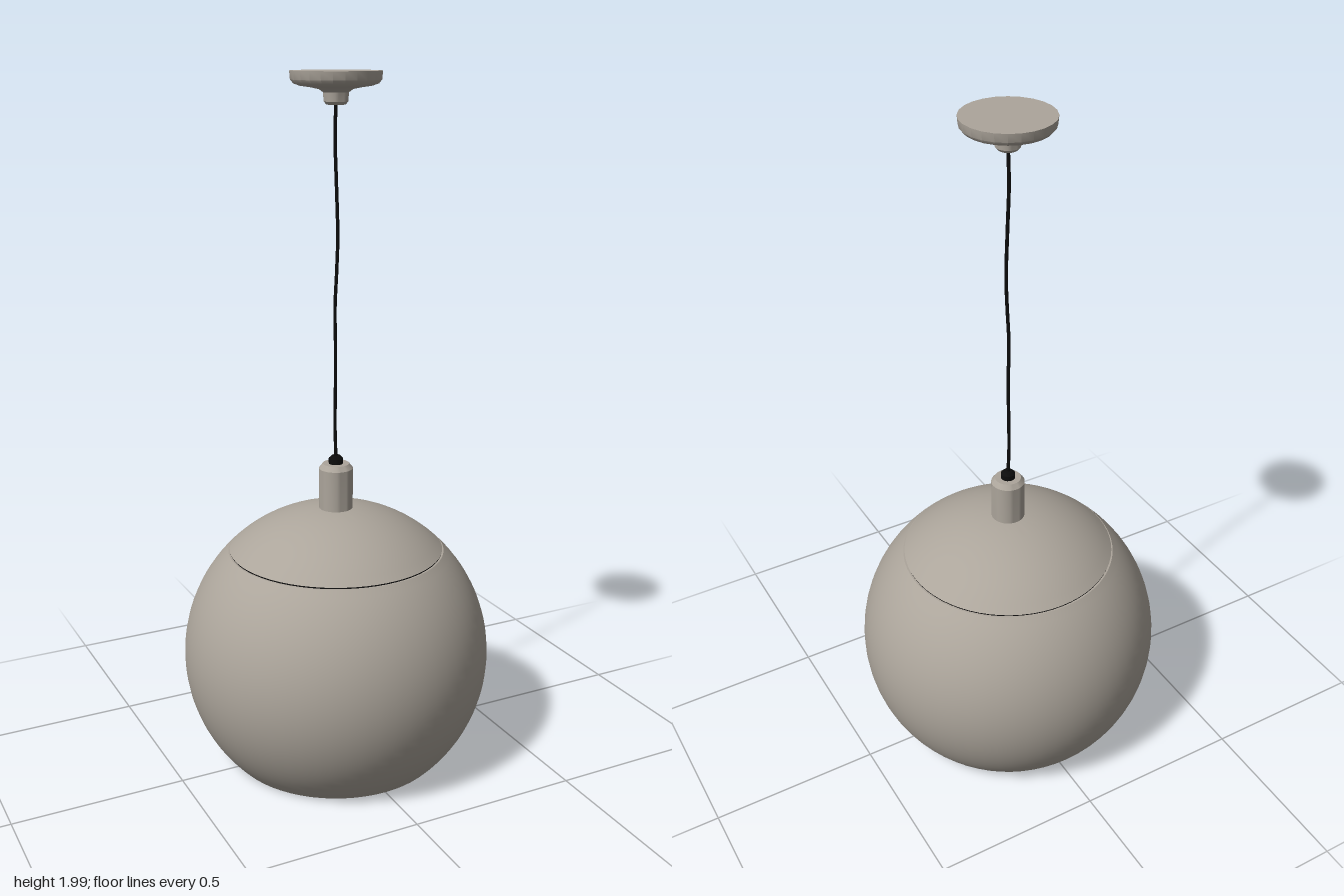
import * as THREE from 'three';
import { toCreasedNormals } from 'three/addons/utils/BufferGeometryUtils.js';

const metal = new THREE.MeshStandardMaterial({ color: 0xaca59b });
metal.name = 'warm grey metal';
const black = new THREE.MeshStandardMaterial({ color: 0x0c0c0c });
black.name = 'black cord';

// Turned part; profile points are [radius, y], outer wall running upwards
function turned(name, profile, material, segments = 48) {
  const points = profile.map(([r, y]) => new THREE.Vector2(Math.max(r, 0), y));
  const geometry = toCreasedNormals(new THREE.LatheGeometry(points, segments), 0.6);
  const mesh = new THREE.Mesh(geometry, material);
  mesh.name = name;
  return mesh;
}

// Profile of a sphere of radius r between two heights above its centre
const CENTRE = 0.325;
function arc(r, y0, y1, steps) {
  const a0 = Math.asin(Math.max(-1, Math.min(1, y0 / r)));
  const a1 = Math.asin(Math.max(-1, Math.min(1, y1 / r)));
  return Array.from({ length: steps + 1 }, (_, i) => {
    const a = a0 + (a1 - a0) * i / steps;
    return [r * Math.cos(a), CENTRE + r * Math.sin(a)];
  });
}

export function createModel() {
  const model = new THREE.Group();
  model.name = 'pendantLamp';

  // Open globe shade with inner and outer walls
  const outer = arc(0.451, -0.319, 0.322, 28);
  const inner = arc(0.444, 0.322, -0.319, 28);
  model.add(turned('shade', [...outer, ...inner, outer[0]], metal, 64));

  // Domed cap, separated from the shade by a fine groove
  const capOuter = arc(0.451, 0.326, 0.451, 12);
  const capInner = arc(0.444, 0.444, 0.326, 12);
  model.add(turned('shadeCap', [...capInner, ...capOuter], metal, 64));
  model.add(turned('capGroove', arc(0.4475, 0.318, 0.33, 1), black, 64));

  // Neck, with a bevelled top
  model.add(turned('neck', [
    [0, 0.76], [0.049, 0.76], [0.049, 0.893], [0.038, 0.907], [0, 0.907],
  ], metal, 32));

  // Cord grip
  model.add(turned('cordGrip', [
    [0, 0.905], [0.021, 0.905], [0.021, 0.922], [0.013, 0.93], [0, 0.93],
  ], black, 20));

  // Slightly crooked hanging cord
  const path = new THREE.CatmullRomCurve3([
    [0, 0.92, 0], [0, 1.02, -0.006], [0, 1.15, -0.003], [-0.002, 1.26, 0.001],
    [-0.005, 1.36, 0.004], [0.001, 1.47, 0.003], [0.005, 1.56, 0.001],
    [0.003, 1.7, -0.003], [0, 1.82, -0.005], [0, 1.925, 0],
  ].map((p) => new THREE.Vector3(...p)));
  const cord = new THREE.Mesh(new THREE.TubeGeometry(path, 60, 0.005, 8), black);
  cord.name = 'cord';
  model.add(cord);

  // Ceiling canopy with stepped collar
  model.add(turned('canopy', [
    [0, 1.912], [0.026, 1.912], [0.033, 1.92], [0.035, 1.944], [0.046, 1.952],
    [0.07, 1.957], [0.098, 1.961], [0.115, 1.967], [0.123, 1.977],
    [0.125, 2], [0, 2],
  ], metal, 24));

  return model;
}
